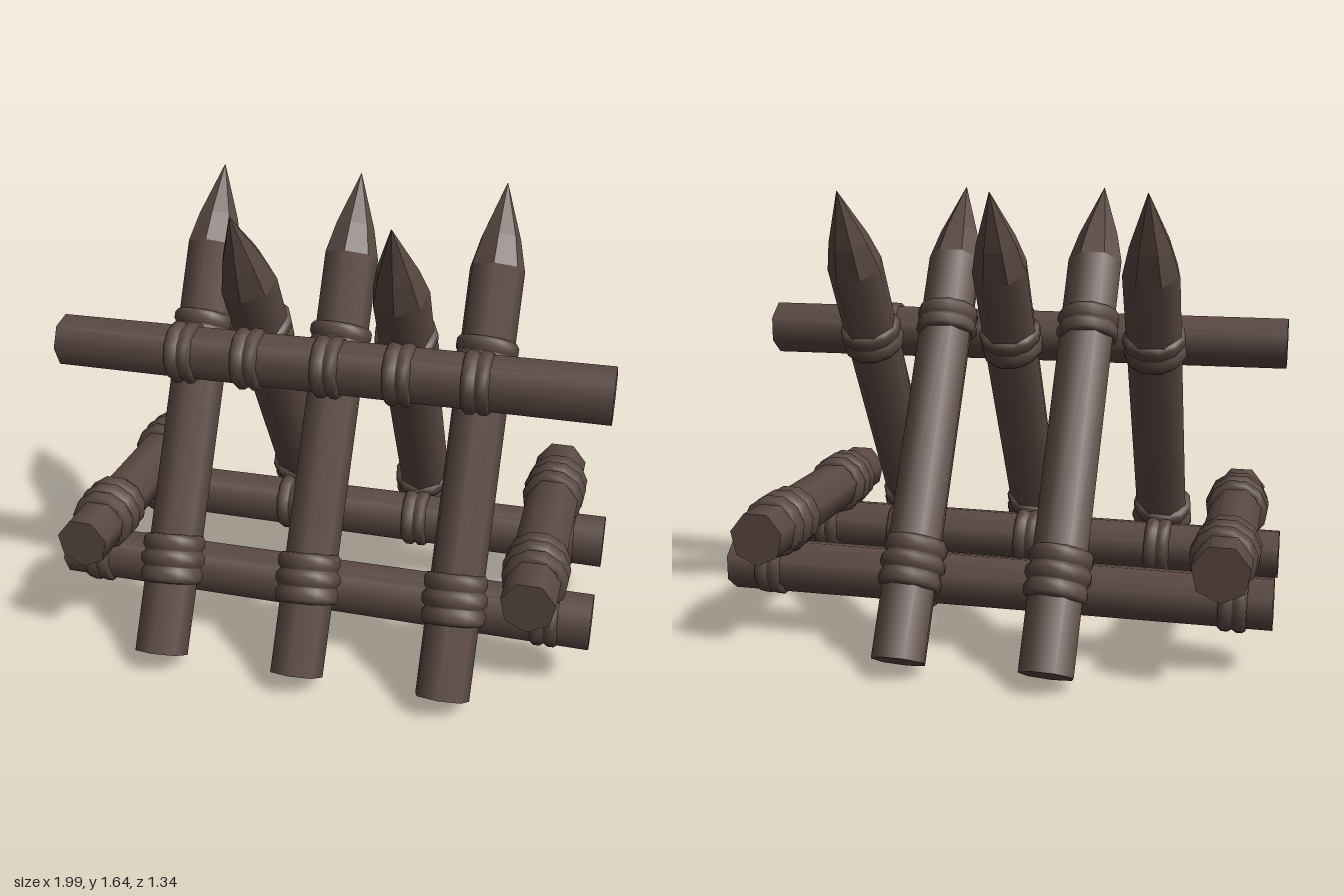
import * as THREE from 'three';

const UP = new THREE.Vector3(0, 1, 0);
const SIDES = 7;

export function createModel() {
  const model = new THREE.Group();
  const wood = new THREE.MeshStandardMaterial({ color: 0x5b4943 });
  wood.name = 'dark brown wood';
  const rope = new THREE.MeshStandardMaterial({ color: 0x584741 });
  rope.name = 'brown rope';

  // a group at point a whose +y axis runs towards b
  function axisGroup(name, a, b) {
    const g = new THREE.Group();
    g.name = name;
    g.position.copy(a);
    g.quaternion.setFromUnitVectors(UP, b.clone().sub(a).normalize());
    model.add(g);
    return g;
  }

  function add(parent, name, geometry, material) {
    const mesh = new THREE.Mesh(geometry, material);
    mesh.name = name;
    parent.add(mesh);
    return mesh;
  }

  // straight log from a to b, with radii r0 and r1
  function log(name, a, b, r0 = 0.1, r1 = r0) {
    const g = axisGroup(name, a, b);
    const length = a.distanceTo(b);
    const geo = new THREE.CylinderGeometry(r1, r0, length, SIDES);
    geo.translate(0, length / 2, 0);
    add(g, 'shaft', geo, wood);
    return g;
  }

  // faceted point carved on the end of a stake
  function point(g, y, r, length) {
    const rings = [[r, 0], [r * 0.72, 0.36], [0.001, 1]];
    for (let i = 0; i < 2; i++) {
      const [ra, ta] = rings[i], [rb, tb] = rings[i + 1];
      const h = (tb - ta) * length;
      let geo = new THREE.CylinderGeometry(rb, ra, h, SIDES, 1, true);
      geo = geo.toNonIndexed();
      geo.computeVertexNormals();
      geo.translate(0, y + ta * length + h / 2, 0);
      add(g, 'carvedPoint', geo, wood);
    }
  }

  // rope wound n times round a log, centred at height y on its axis
  function binding(g, y, turns, pitch = 0.055, r = 0.115, tilt = 0) {
    const half = (turns * pitch) / 2;
    const pts = [new THREE.Vector2(0.09, -half)];
    for (let i = 0; i < turns; i++) {
      const s = -half + i * pitch;
      const swell = turns === 3 && i === 1 ? 0.004 : 0;
      pts.push(new THREE.Vector2(r - 0.009, s + pitch * 0.04));
      pts.push(new THREE.Vector2(r + swell, s + pitch * 0.28));
      pts.push(new THREE.Vector2(r + swell, s + pitch * 0.72));
      pts.push(new THREE.Vector2(r - 0.009, s + pitch * 0.96));
    }
    pts.push(new THREE.Vector2(0.09, half));
    const mesh = add(g, 'ropeBinding', new THREE.LatheGeometry(pts, 11), rope);
    mesh.position.y = y;
    mesh.rotation.z = tilt;
  }

  const V = (x, y, z) => new THREE.Vector3(x, y, z);

  // sharpened stakes: three lean back, two lean forward
  const stakes = [
    [-0.525, -0.54, 1], [-0.01, -0.01, 1], [0.52, 0.53, 1],
    [-0.27, -0.285, -1], [0.25, 0.255, -1],
  ];
  for (const [x0, x1, side] of stakes) {
    const a = V(x0, 0.053, side * 0.592);
    const b = V(x1, 1.37, side * -0.178);
    const g = log(side > 0 ? 'frontStake' : 'backStake', a, b, 0.098, 0.102);
    const length = a.distanceTo(b);
    point(g, length, 0.102, 0.315);
    const at = (y) => ((y - a.y) / (b.y - a.y)) * length;
    binding(g, at(0.35), 3, 0.06, 0.114, 0.05);
    binding(g, at(side > 0 ? 1.1 : 1.15), 2, 0.055, 0.114, -0.04);
  }

  // long rails, bound where they meet stakes and cross logs
  const rails = [
    ['topRail', 1.09, 0.205, [-0.52, -0.275, 0.015, 0.27, 0.54]],
    ['frontLowerRail', 0.258, 0.295, [-0.86, -0.53, -0.01, 0.52, 0.835]],
    ['backLowerRail', 0.258, -0.272, [-0.86, -0.27, 0.25, 0.835]],
  ];
  for (const [name, y, z, ties] of rails) {
    const g = log(name, V(-0.995, y, z), V(0.995, y, z), 0.094, 0.101);
    for (const x of ties) binding(g, x + 0.995, 2, 0.049, 0.112, 0.03);
  }

  // short cross logs resting on the lower rails
  for (const x of [-0.83, 0.79]) {
    const g = log('crossLog', V(x, 0.437, -0.54), V(x, 0.437, 0.54), 0.1, 0.096);
    binding(g, 0.54 - 0.312, 3, 0.068, 0.116, 0.04);
    binding(g, 0.54 + 0.3, 3, 0.062, 0.116, -0.03);
  }

  return model;
}
